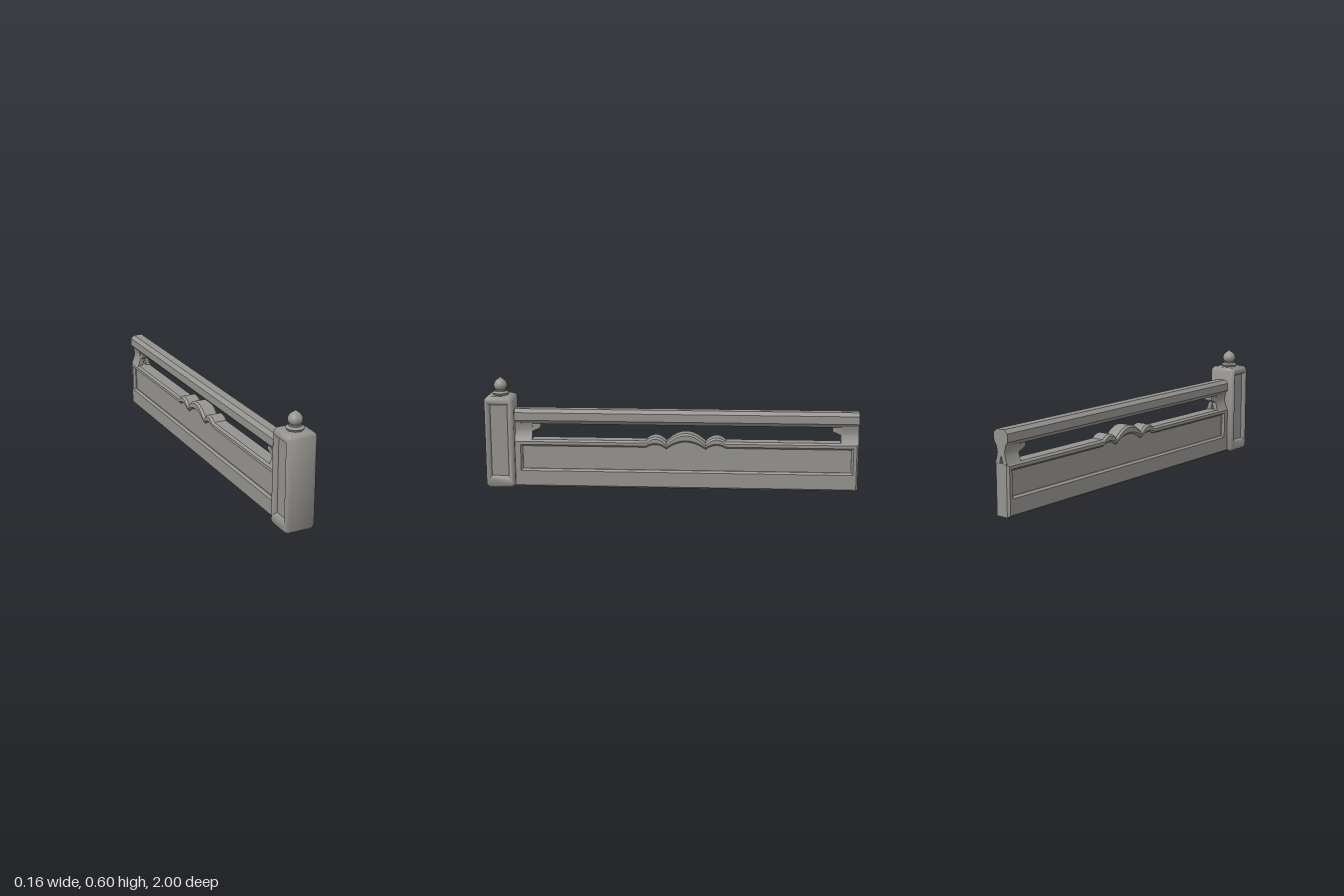
import * as THREE from 'three';
import { toCreasedNormals } from 'three/addons/utils/BufferGeometryUtils.js';

const stone = new THREE.MeshStandardMaterial({ color: 0x95938f });
stone.name = 'grey stone';

function part(name, geometry, crease = 0.5) {
  const mesh = new THREE.Mesh(toCreasedNormals(geometry, crease), stone);
  mesh.name = name;
  return mesh;
}

function polygon(points) {
  return new THREE.Shape(points.map(([a, b]) => new THREE.Vector2(a, b)));
}

// Extrudes a (z, y) outline across x, centred, with inward bevels at both sides
function extrudeAcross(shape, width, bevel = 0, bevelDepth = bevel) {
  const depth = width - 2 * bevelDepth;
  const geometry = new THREE.ExtrudeGeometry(shape, {
    depth, curveSegments: 14, bevelEnabled: bevel > 0, bevelSegments: 1,
    bevelSize: bevel, bevelThickness: bevelDepth, bevelOffset: -bevel,
  });
  geometry.translate(0, 0, -depth / 2);
  return geometry.rotateY(-Math.PI / 2);
}

// Extrudes an (x, y) section along z
function extrudeAlong(shape, z0, z1) {
  const geometry = new THREE.ExtrudeGeometry(shape, { depth: z1 - z0, bevelEnabled: false });
  return geometry.translate(0, 0, z0);
}

// Panel outline with three arched humps along its top edge
function scallopedOutline(path, z0, z1, y0, top, smallPeak, largePeak) {
  const valley = top - 0.008;
  path.moveTo(z0, y0);
  path.lineTo(z1, y0);
  path.lineTo(z1, top);
  path.lineTo(0.134, top);
  path.quadraticCurveTo(0.08, 2 * smallPeak - (top + valley) / 2, 0.025, valley);
  path.quadraticCurveTo(-0.08, 2 * largePeak - valley, -0.185, valley);
  path.quadraticCurveTo(-0.24, 2 * smallPeak - (top + valley) / 2, -0.294, top);
  path.lineTo(z0, top);
  path.closePath();
  return path;
}

function box(name, w, h, d, x, y, z) {
  return part(name, new THREE.BoxGeometry(w, h, d).translate(x, y, z));
}

function createPost() {
  const post = new THREE.Group();
  post.name = 'post';
  const c = 0.016, z0 = 0.843, z1 = 1, h = 0.5;
  const outline = polygon([
    [z0 + c, 0], [z1 - c, 0], [z1, c], [z1, h - c],
    [z1 - c, h], [z0 + c, h], [z0, h - c], [z0, c],
  ]);
  outline.holes.push(polygon([[0.877, 0.065], [0.877, 0.454], [0.969, 0.454], [0.969, 0.065]]));
  post.add(part('postFrame', extrudeAcross(outline, 0.16, 0.012, 0.016), 0.95));
  // Sunken panels on both sides
  post.add(box('postPanel', 0.12, 0.42, 0.11, 0, 0.26, 0.922));

  // Turned finial with a flared collar and a pointed bulb
  const collar = [[0, 0.495], [0.038, 0.499], [0.047, 0.512], [0.031, 0.521], [0.031, 0.527], [0, 0.528]];
  const bulb = [
    [0.02, 0.526], [0.029, 0.532], [0.035, 0.541], [0.037, 0.552], [0.035, 0.563],
    [0.029, 0.574], [0.019, 0.583], [0.009, 0.59], [0, 0.597],
  ];
  for (const [name, points, crease] of [['finialCollar', collar, 0.5], ['finialBulb', bulb, 0.8]]) {
    const geometry = new THREE.LatheGeometry(points.map(([r, y]) => new THREE.Vector2(r, y)), 24);
    post.add(part(name, geometry.translate(0, 0, 0.921), crease));
  }
  return post;
}

function createWall() {
  const wall = new THREE.Group();
  wall.name = 'wall';
  const outline = scallopedOutline(new THREE.Shape(), -1, 0.86, 0, 0.262, 0.284, 0.305);
  outline.holes.push(scallopedOutline(new THREE.Path(), -0.963, 0.803, 0.1, 0.226, 0.241, 0.258));
  wall.add(part('wallFrame', extrudeAcross(outline, 0.092, 0.01, 0.012)));
  // Sunken field on both sides
  const field = scallopedOutline(new THREE.Shape(), -0.98, 0.82, 0.08, 0.24, 0.255, 0.27);
  wall.add(part('wallPanel', extrudeAcross(field, 0.056)));
  return wall;
}

// Support under the rail; dir points from its outer end towards the middle
function createBracket(outer, dir) {
  const bracket = new THREE.Group();
  bracket.name = 'bracket';
  // Waisted section with a pointed notch between its feet
  const half = [[0.012, 0.258], [0.042, 0.258], [0.034, 0.275], [0.026, 0.3], [0.024, 0.318], [0.032, 0.352]];
  const mirrored = half.map(([x, y]) => [-x, y]).reverse();
  const section = polygon([...half, ...mirrored, [0, 0.302]]);
  const inner = outer + dir * 0.095;
  bracket.add(part('bracketLeg', extrudeAlong(section, Math.min(outer, inner), Math.max(outer, inner))));
  // Stepped lip under the rail
  const lip = [[0.08, 0.305], [0.095, 0.305], [0.14, 0.325], [0.14, 0.352], [0.08, 0.352]];
  bracket.add(part('bracketLip', extrudeAcross(polygon(lip.map(([d, y]) => [outer + dir * d, y])), 0.05)));
  return bracket;
}

export function createModel() {
  const model = new THREE.Group();
  model.name = 'balustrade';
  model.add(createPost(), createWall());

  // Handrail with bevelled shoulders
  const rail = polygon([
    [-0.027, 0.347], [0.027, 0.347], [0.045, 0.368], [0.045, 0.41],
    [0.024, 0.428], [-0.024, 0.428], [-0.045, 0.41], [-0.045, 0.368],
  ]);
  model.add(part('rail', extrudeAlong(rail, -1, 0.86)));

  model.add(createBracket(0.845, -1), createBracket(-0.999, 1));
  return model;
}
